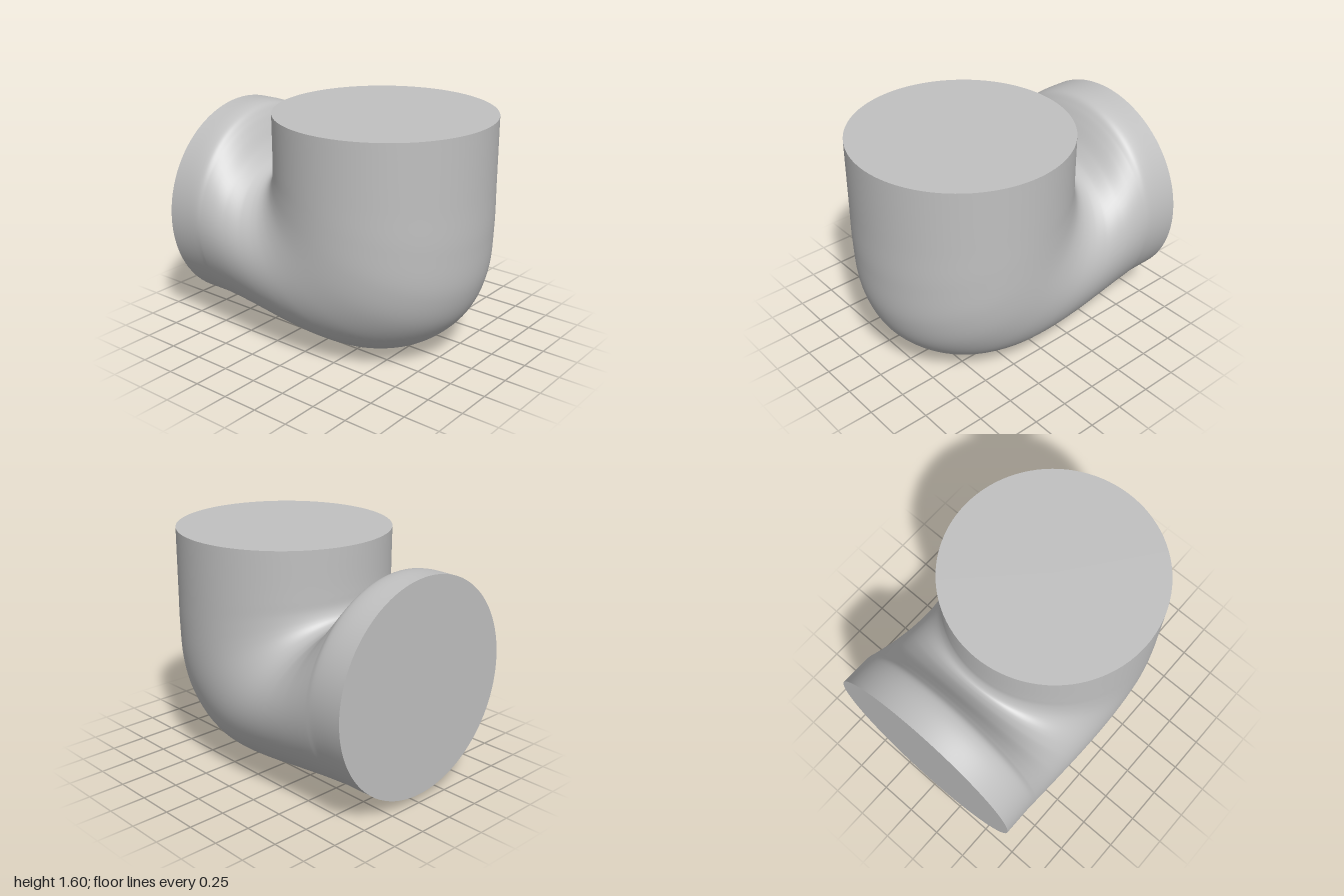
import * as THREE from 'three';

const R = 0.725; // pipe radius
const STEPS = 112, SIDES = 96;

// Matching profile points [z, y]: inner (crotch) side and outer (heel) side of the bend
const INNER = [
  [-0.45, 1.6], [-0.45, 1.3], [-0.455, 1.22], [-0.475, 1.175], [-0.49, 1.163],
  [-0.5, 1.162], [-0.51, 1.164], [-0.525, 1.17], [-0.56, 1.195], [-0.62, 1.27],
  [-0.68, 1.375], [-0.72, 1.44], [-0.76, 1.485], [-0.82, 1.503], [-1, 1.505],
];
const OUTER = [
  [1, 1.6], [1, 1.15], [1, 0.85], [0.975, 0.55], [0.88, 0.32],
  [0.68, 0.125], [0.45, 0.025], [0.22, 0], [-0.05, 0.012], [-0.35, 0.04],
  [-0.6, 0.057], [-0.72, 0.06], [-0.76, 0.06], [-0.82, 0.06], [-1, 0.06],
];

const toCurve = (points) =>
  new THREE.CatmullRomCurve3(points.map(([z, y]) => new THREE.Vector3(0, y, z)));

// Elliptical rings fanned between the inner and outer profiles
function elbowGeometry() {
  const inner = toCurve(INNER), outer = toCurve(OUTER);
  const positions = [], indices = [];
  for (let i = 0; i <= STEPS; i++) {
    const a = inner.getPoint(i / STEPS), b = outer.getPoint(i / STEPS);
    const centre = a.clone().add(b).multiplyScalar(0.5);
    const axis = a.clone().sub(centre);
    for (let j = 0; j < SIDES; j++) {
      const angle = (j / SIDES) * Math.PI * 2;
      const p = centre.clone().addScaledVector(axis, Math.cos(angle));
      positions.push(R * Math.sin(angle), Math.max(0, p.y), p.z);
      if (i < STEPS) {
        const k = (j + 1) % SIDES, r0 = i * SIDES, r1 = r0 + SIDES;
        indices.push(r0 + j, r0 + k, r1 + j, r0 + k, r1 + k, r1 + j);
      }
    }
  }
  const geometry = new THREE.BufferGeometry();
  geometry.setAttribute('position', new THREE.Float32BufferAttribute(positions, 3));
  geometry.setIndex(indices);
  geometry.computeVertexNormals();
  return geometry;
}

export function createModel() {
  const group = new THREE.Group();
  group.name = 'pipeElbow';
  const grey = new THREE.MeshStandardMaterial({ color: 0xc0c0c0 });
  grey.name = 'grey';

  const add = (name, geometry) => {
    const mesh = new THREE.Mesh(geometry, grey);
    mesh.name = name;
    group.add(mesh);
    return mesh;
  };

  add('elbowBody', elbowGeometry());

  // Flat closed ends
  const topCap = add('topCap', new THREE.CircleGeometry(R, SIDES));
  topCap.rotation.x = -Math.PI / 2;
  topCap.position.set(0, 1.6, 0.275);

  const backCap = add('backCap', new THREE.CircleGeometry(R, SIDES));
  backCap.rotation.y = Math.PI;
  backCap.scale.y = 0.7225 / R;
  backCap.position.set(0, 0.7825, -1);

  return group;
}
